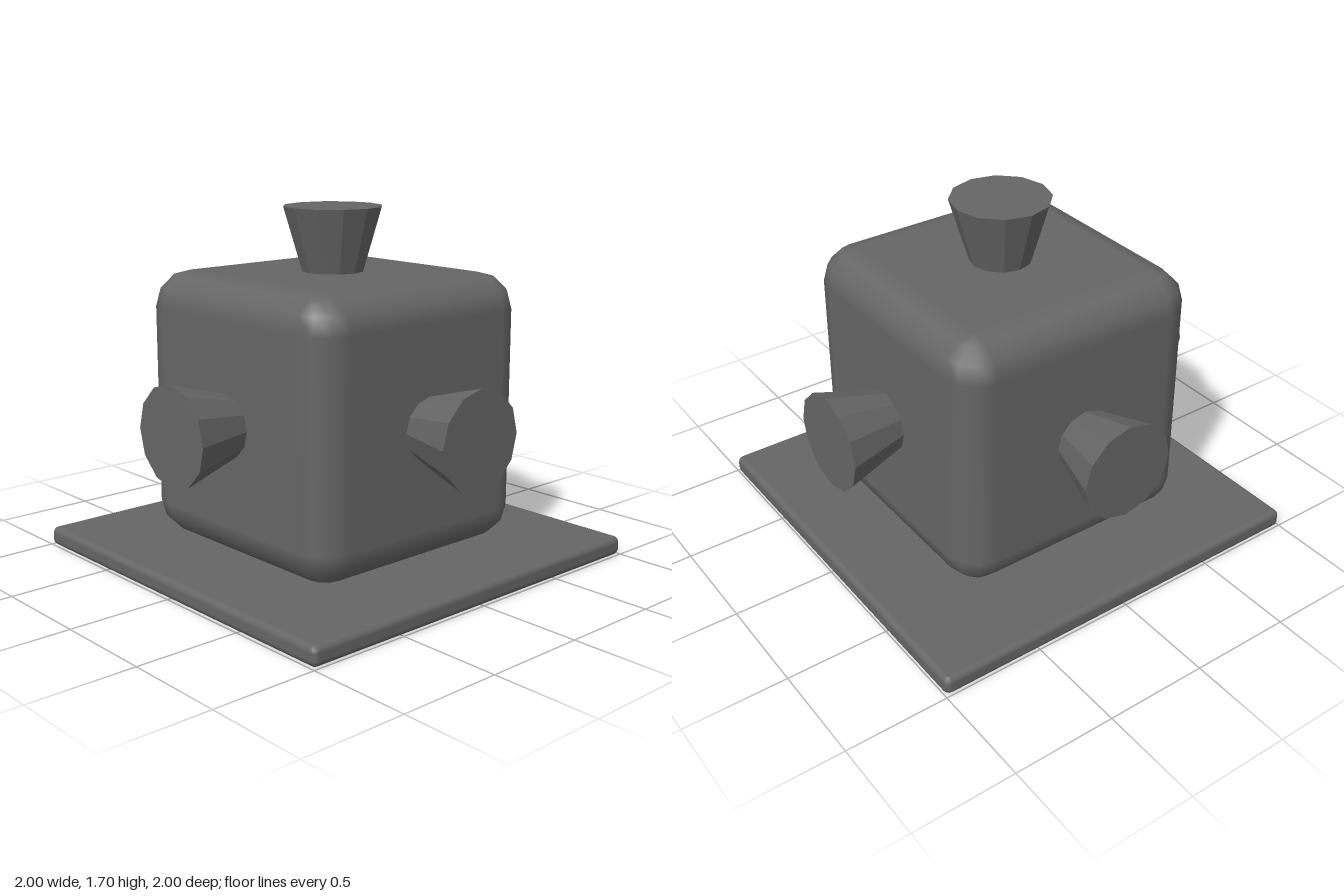
import * as THREE from 'three';

const SEG = 3; // bevel steps per quarter turn

// Box with rounded edges: a sphere grid split into octants that are pushed apart
function roundedBox(w, h, d, r) {
  const n = SEG + 1, cols = n * 4, rows = n * 2 + 1;
  const geo = new THREE.SphereGeometry(1, cols, rows);
  const pos = geo.attributes.position, nor = geo.attributes.normal;
  const step = Math.PI / 2 / SEG;
  for (let iy = 0; iy <= rows; iy++) {
    for (let ix = 0; ix <= cols; ix++) {
      const i = iy * (cols + 1) + ix;
      if (iy === 0 || iy === rows) { // middle of the top and bottom faces
        const s = iy === 0 ? 1 : -1;
        pos.setXYZ(i, 0, s * h / 2, 0);
        nor.setXYZ(i, 0, s, 0);
        continue;
      }
      const q = Math.floor(ix / n), u = q * Math.PI / 2 + (ix % n) * step;
      const mid = q * Math.PI / 2 + Math.PI / 4;
      const upper = iy <= n;
      const v = upper ? (iy - 1) * step : Math.PI / 2 + (iy - 1 - n) * step;
      const x = -Math.cos(u) * Math.sin(v), y = Math.cos(v), z = Math.sin(u) * Math.sin(v);
      pos.setXYZ(i,
        -Math.sign(Math.cos(mid)) * (w / 2 - r) + x * r,
        (upper ? 1 : -1) * (h / 2 - r) + y * r,
        Math.sign(Math.sin(mid)) * (d / 2 - r) + z * r);
      nor.setXYZ(i, x, y, z);
    }
  }
  return geo;
}

export function createModel() {
  const group = new THREE.Group();
  const grey = new THREE.MeshStandardMaterial({ color: 0x666666 });
  grey.name = 'grey';
  const greyFlat = grey.clone();
  greyFlat.flatShading = true;

  const add = (name, geo, y, mat) => {
    const mesh = new THREE.Mesh(geo, mat);
    mesh.name = name;
    mesh.position.y = y;
    group.add(mesh);
    return mesh;
  };

  const baseH = 0.093, bodySize = 1.3, centreY = baseH + bodySize / 2;

  // Thin square base and the rounded cube standing on it
  add('base', roundedBox(2, baseH, 2, 0.03), baseH / 2, grey);
  add('body', roundedBox(bodySize, bodySize, bodySize, 0.17), centreY, grey);

  // Flared twelve-sided horns, on the top and on all four sides
  const inner = 0.6, outer = 0.957;
  const horn = new THREE.CylinderGeometry(0.238, 0.134, outer - inner, 12);
  horn.translate(0, (inner + outer) / 2, 0);
  const up = new THREE.Vector3(0, 1, 0);
  const directions = {
    topHorn: [0, 1, 0],
    leftHorn: [1, 0, 0],
    rightHorn: [-1, 0, 0],
    frontHorn: [0, 0, 1],
    backHorn: [0, 0, -1],
  };
  for (const [name, dir] of Object.entries(directions)) {
    add(name, horn, centreY, greyFlat)
      .quaternion.setFromUnitVectors(up, new THREE.Vector3(...dir));
  }

  return group;
}
